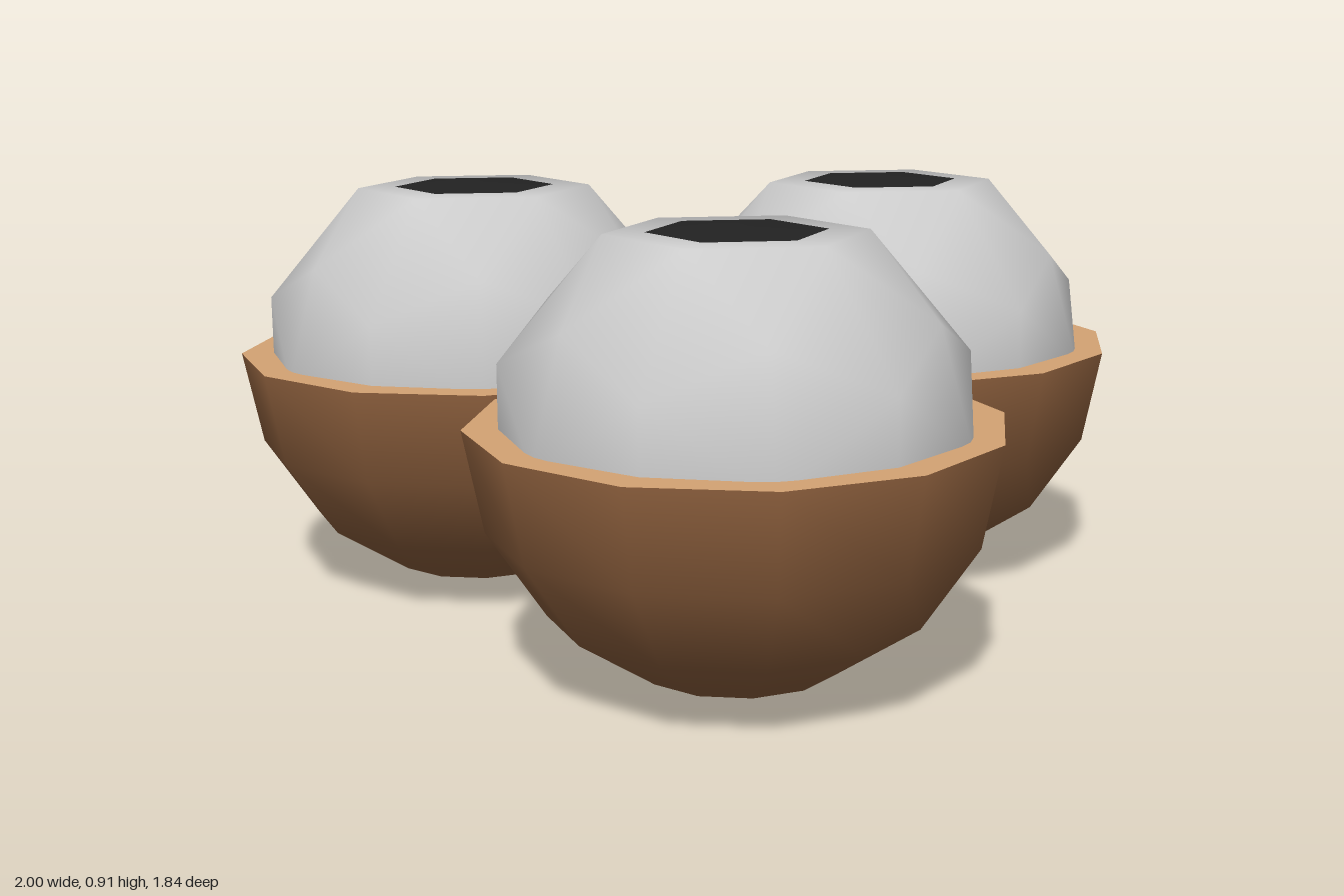
import * as THREE from 'three';
import { ConvexGeometry } from 'three/addons/geometries/ConvexGeometry.js';

const BOWL_R = 0.525;

const mat = (color) => new THREE.MeshStandardMaterial({ color });

// Faceted ball with a flat hexagonal top, shaded smoothly
function ballGeometry() {
  const pts = [];
  // height, radius on even and odd twelfths of a turn (0 = no corner there)
  const rings = [
    [0.89, 0.255, 0],
    [0.74, 0, 0.4],
    [0.65, 0.455, 0],
    [0.5, 0.455, 0.467],
  ];
  for (const [y, even, odd] of rings) {
    for (let i = 0; i < 12; i++) {
      const r = i % 2 ? odd : even;
      const a = (i * Math.PI) / 6;
      if (r) pts.push(new THREE.Vector3(r * Math.cos(a), y, r * Math.sin(a)));
    }
  }
  const geo = new ConvexGeometry(pts);
  const pos = geo.attributes.position;
  const n = new THREE.Vector3();
  for (let i = 0; i < pos.count; i++) {
    n.fromBufferAttribute(pos, i);
    n.y -= 0.49;
    n.normalize();
    geo.attributes.normal.setXYZ(i, n.x, n.y, n.z);
  }
  return geo;
}

export function createModel() {
  const group = new THREE.Group();
  const shell = mat(0x8b5e3c);
  const flesh = mat(0xd4a373);
  const grey = mat(0xcccccc);
  const dark = mat(0x222222);

  // Lower half sphere
  const bowlGeo = new THREE.SphereGeometry(BOWL_R, 12, 4, 0, Math.PI * 2, Math.PI / 2, Math.PI / 2);
  bowlGeo.translate(0, BOWL_R, 0);

  // Flat cut face of the half shell
  const rimGeo = new THREE.CircleGeometry(BOWL_R, 12);
  rimGeo.rotateX(-Math.PI / 2).translate(0, BOWL_R, 0);

  const ballGeo = ballGeometry();

  // Shallow hexagonal cap with corners towards +x and -x
  const capGeo = new THREE.ConeGeometry(0.175, 0.014, 6);
  capGeo.rotateY(Math.PI / 6).translate(0, 0.899, 0);

  const parts = [
    ['bowl', bowlGeo, shell],
    ['rim', rimGeo, flesh],
    ['ball', ballGeo, grey],
    ['darkCap', capGeo, dark],
  ];
  const places = [
    ['leftUnit', 0.475, 0.393],
    ['rightUnit', -0.475, 0.393],
    ['backUnit', 0, -0.395],
  ];
  for (const [unitName, x, z] of places) {
    const unit = new THREE.Group();
    unit.name = unitName;
    unit.position.set(x, 0, z);
    for (const [name, geo, material] of parts) {
      const mesh = new THREE.Mesh(geo, material);
      mesh.name = name;
      unit.add(mesh);
    }
    group.add(unit);
  }
  return group;
}
